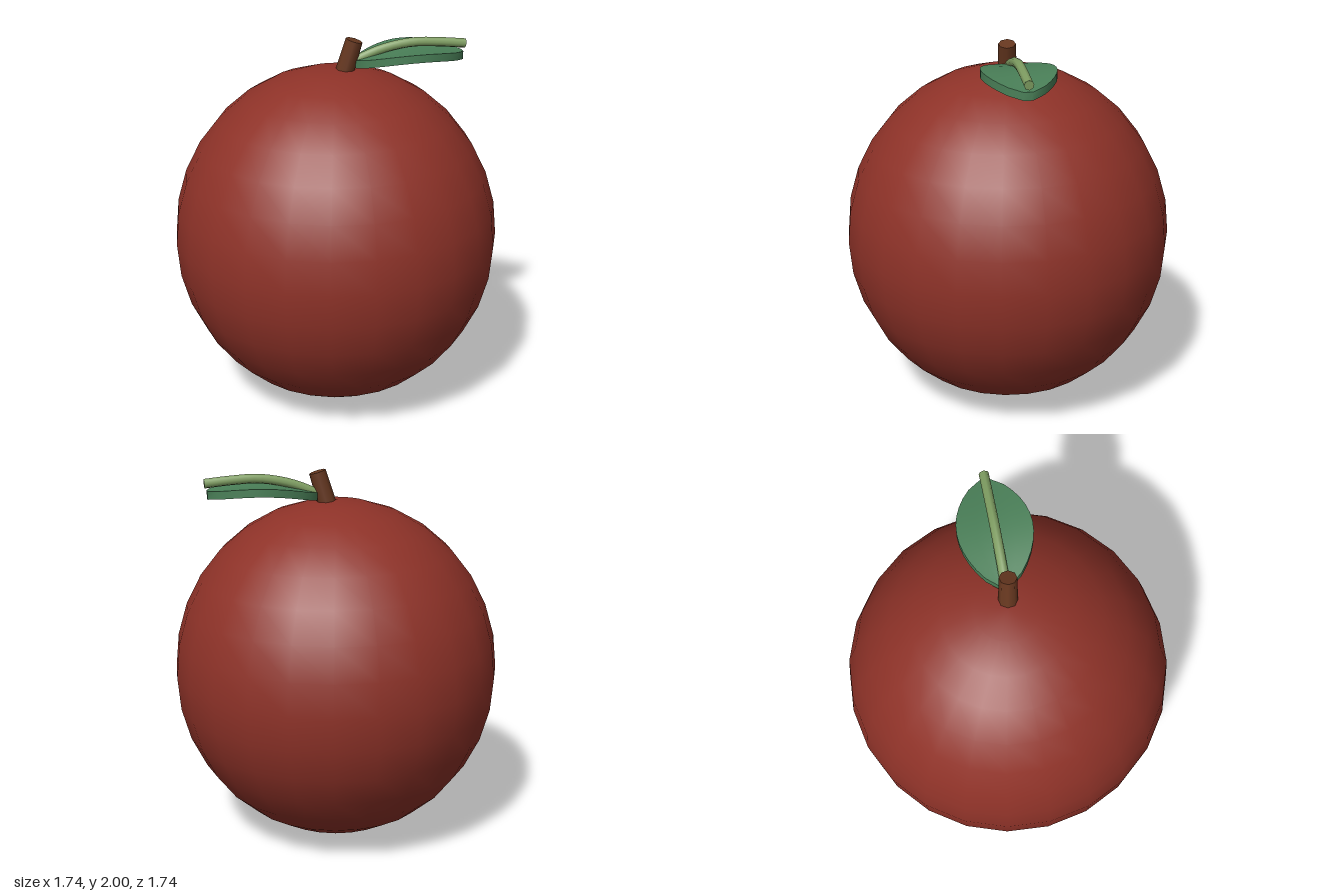
import * as THREE from 'three';
import { toCreasedNormals } from 'three/addons/utils/BufferGeometryUtils.js';

function material(name, color) {
  const m = new THREE.MeshStandardMaterial({ color });
  m.name = name;
  return m;
}

function addMesh(parent, name, geometry, mat) {
  const mesh = new THREE.Mesh(geometry, mat);
  mesh.name = name;
  parent.add(mesh);
  return mesh;
}

// Thick leaf blade lofted along x: arched lengthwise, slightly cupped across
function leafGeometry(length, halfWidth, thickness) {
  const rows = 12, across = [-1, -0.5, 0, 0.5, 1];
  const positions = [], index = [], n = across.length * 2;
  for (let i = 0; i <= rows; i++) {
    const t = i / rows;
    const w = 0.025 + (halfWidth - 0.025) * Math.pow(Math.max(0, Math.sin(Math.PI * t)), 0.7);
    const arch = 0.025 * t + 0.035 * Math.sin(Math.PI * t);
    const point = (s, side) =>
      positions.push(length * t, arch + 0.012 * s * s * (w / halfWidth) + side * thickness / 2, s * w);
    across.forEach((s) => point(s, 1));
    [...across].reverse().forEach((s) => point(s, -1));
  }
  for (let i = 0; i < rows; i++) {
    for (let j = 0; j < n; j++) {
      const a = i * n + j, b = i * n + (j + 1) % n;
      index.push(a, b, a + n, b, b + n, a + n);
    }
  }
  // end caps
  const last = rows * n;
  for (let j = 1; j < n - 1; j++) {
    index.push(0, j + 1, j, last, last + j, last + j + 1);
  }
  const g = new THREE.BufferGeometry();
  g.setAttribute('position', new THREE.Float32BufferAttribute(positions, 3));
  g.setIndex(index);
  return toCreasedNormals(g, 0.8);
}

export function createModel() {
  const model = new THREE.Group();
  model.name = 'fruit';
  const red = material('fruit red', 0x8e3228);
  const brown = material('stem brown', 0x66371f);
  const green = material('leaf green', 0x4a8058);
  const lightGreen = material('vein light green', 0x7f9e62);

  // Body: slightly tall ball
  const ball = new THREE.SphereGeometry(0.87, 24, 16);
  ball.scale(1, 0.918 / 0.87, 1);
  addMesh(model, 'body', ball, red).position.y = 0.921;

  // Stem: short tapered peg leaning to the leaf side
  const stem = addMesh(model, 'stem', new THREE.CylinderGeometry(0.045, 0.05, 0.2, 8), brown);
  stem.position.set(0.068, 1.892, 0);
  stem.rotation.z = -0.29;

  // Leaf assembly, turned a little towards the back
  const leaf = new THREE.Group();
  leaf.name = 'leaf';
  leaf.position.set(0.1, 0, -0.012);
  leaf.rotation.y = 0.19;
  model.add(leaf);
  addMesh(leaf, 'leafBlade', leafGeometry(0.575, 0.19, 0.042), green).position.y = 1.86;

  // Central vein: an arched rod above the blade
  const curve = new THREE.CatmullRomCurve3(
    [[0, 1.877], [0.14, 1.932], [0.3, 1.962], [0.45, 1.958], [0.59, 1.945]]
      .map(([x, y]) => new THREE.Vector3(x, y, 0)));
  const radius = 0.025;
  addMesh(leaf, 'vein', new THREE.TubeGeometry(curve, 14, radius, 8), lightGreen);
  for (const [t, sign] of [[0, -1], [1, 1]]) {
    const cap = addMesh(leaf, 'veinEnd', new THREE.CircleGeometry(radius, 8), lightGreen);
    cap.position.copy(curve.getPoint(t));
    cap.quaternion.setFromUnitVectors(
      new THREE.Vector3(0, 0, 1), curve.getTangent(t).multiplyScalar(sign));
  }
  return model;
}
